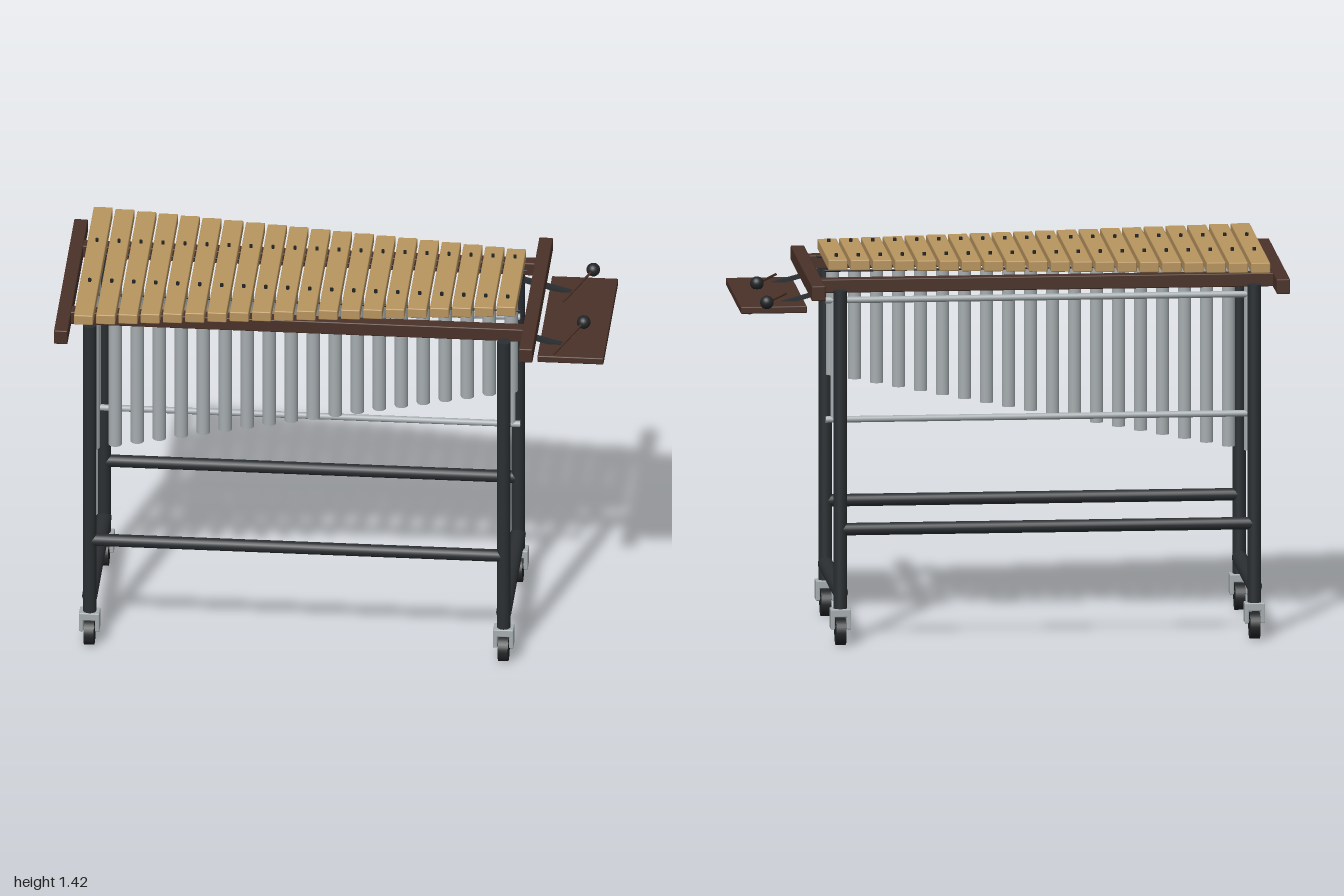
import * as THREE from 'three';
import { RoundedBoxGeometry } from 'three/addons/geometries/RoundedBoxGeometry.js';

const paint = (color, side = THREE.FrontSide) => {
  const m = new THREE.MeshStandardMaterial({ color });
  m.side = side;
  return m;
};

export function createModel() {
  const model = new THREE.Group();
  const barWood = paint(0xb8955f), darkWood = paint(0x4a3128);
  const steel = paint(0x2b2f32), rubber = paint(0x222527);
  const silver = paint(0xa6adb0), pipe = paint(0xa6adb0, THREE.DoubleSide);

  const add = (name, geometry, material, x = 0, y = 0, z = 0, parent = model) => {
    const mesh = new THREE.Mesh(geometry, material);
    mesh.name = name;
    mesh.position.set(x, y, z);
    parent.add(mesh);
    return mesh;
  };
  const block = (name, material, w, h, d, x, y, z, parent) =>
    add(name, new RoundedBoxGeometry(w, h, d, 2, 0.004), material, x, y, z, parent);
  // Round rod between two points
  const rod = (name, material, r, a, b, parent) => {
    const p = new THREE.Vector3(...a), q = new THREE.Vector3(...b);
    const dir = q.clone().sub(p);
    const mesh = add(name, new THREE.CylinderGeometry(r, r, dir.length(), 20), material, 0, 0, 0, parent);
    mesh.position.copy(p).add(q).multiplyScalar(0.5);
    mesh.quaternion.setFromUnitVectors(new THREE.Vector3(0, 1, 0), dir.normalize());
    return mesh;
  };

  const COUNT = 20, X0 = -0.893, PITCH = 0.0805;
  const legX = [-0.88, 0.635], legZ = 0.31, cordZ = 0.157;

  // Tone bars with cord pins, and a resonator pipe under each
  for (let i = 0; i < COUNT; i++) {
    const t = i / (COUNT - 1), x = X0 + i * PITCH;
    block('toneBar', barWood, 0.07, 0.039, THREE.MathUtils.lerp(0.855, 0.46, t), x, 1.39, 0);
    for (const s of [-1, 1])
      add('barPin', new THREE.CylinderGeometry(0.006, 0.006, 0.014, 10), rubber, x, 1.414, s * cordZ);

    const bottom = THREE.MathUtils.lerp(0.645, 0.947, t), top = 1.33;
    const ring = [[0.0245, bottom], [0.0245, top], [0.021, top], [0.021, bottom], [0.0245, bottom]]
      .map(([r, y]) => new THREE.Vector2(r, y));
    // Separate walls keep the rim edges crisp
    const tube = new THREE.Group();
    tube.name = 'resonator';
    tube.position.x = x;
    for (let k = 0; k < 4; k++)
      add('resonatorWall', new THREE.LatheGeometry([ring[k], ring[k + 1]], 20), pipe, 0, 0, 0, tube);
    model.add(tube);
  }

  // Wooden frame and bar cords
  for (const x of [-0.975, 0.726]) block('endRail', darkWood, 0.05, 0.055, 0.88, x, 1.322, 0);
  for (const s of [-1, 1]) {
    block('sideRail', darkWood, 1.67, 0.05, 0.05, -0.125, 1.322, s * 0.26);
    rod('barCord', rubber, 0.004, [-0.93, 1.357, s * cordZ], [0.68, 1.357, s * cordZ]);
  }

  // Resonator hanger
  for (const y of [1.228, 0.787])
    rod('hangerRod', silver, 0.012, [-0.905, y, -0.041], [0.665, y, -0.041]);
  for (const x of [-0.88, 0.637])
    rod('hangerPost', silver, 0.011, [x, 0.787, -0.041], [x, 1.3, -0.041]);

  // Legs, stretchers and casters
  for (const x of legX) {
    rod('crossBar', steel, 0.028, [x, 0.193, -legZ], [x, 0.193, legZ]);
    for (const s of [-1, 1]) {
      const z = s * legZ;
      rod('leg', steel, 0.0245, [x, 0.12, z], [x, 1.31, z]);
      const caster = new THREE.Group();
      caster.name = 'caster';
      caster.position.set(x, 0, z);
      model.add(caster);
      block('casterTop', silver, 0.075, 0.03, 0.056, 0, 0.12, 0, caster);
      for (const k of [-1, 1])
        block('casterFork', silver, 0.016, 0.075, 0.056, k * 0.0295, 0.0975, 0, caster);
      rod('casterAxle', steel, 0.007, [-0.03, 0.065, 0], [0.03, 0.065, 0], caster);
      const wheel = add('wheel', new THREE.CylinderGeometry(0.05, 0.05, 0.037, 28), rubber, 0, 0.05, 0, caster);
      wheel.rotation.z = Math.PI / 2;
    }
  }
  for (const s of [-1, 1])
    rod('longStretcher', steel, 0.023, [legX[0], 0.427, s * legZ], [legX[1], 0.427, s * legZ]);

  // Mallet tray on two sloping arms
  block('tray', darkWood, 0.242, 0.026, 0.63, 0.879, 1.243, -0.004);
  for (const s of [-1, 1]) {
    const arm = add('trayArm', new THREE.BoxGeometry(0.31, 0.014, 0.024), steel, 0.815, 1.256, s * 0.205);
    arm.rotation.z = Math.atan2(-0.08, 0.3);
  }

  // Mallets lying on the tray
  for (const z of [-0.342, 0.07]) {
    rod('malletStick', darkWood, 0.0045, [0.817, 1.266, z + 0.24], [0.907, 1.275, z]);
    add('malletHead', new THREE.SphereGeometry(0.025, 20, 14), rubber, 0.907, 1.276, z);
  }

  return model;
}
